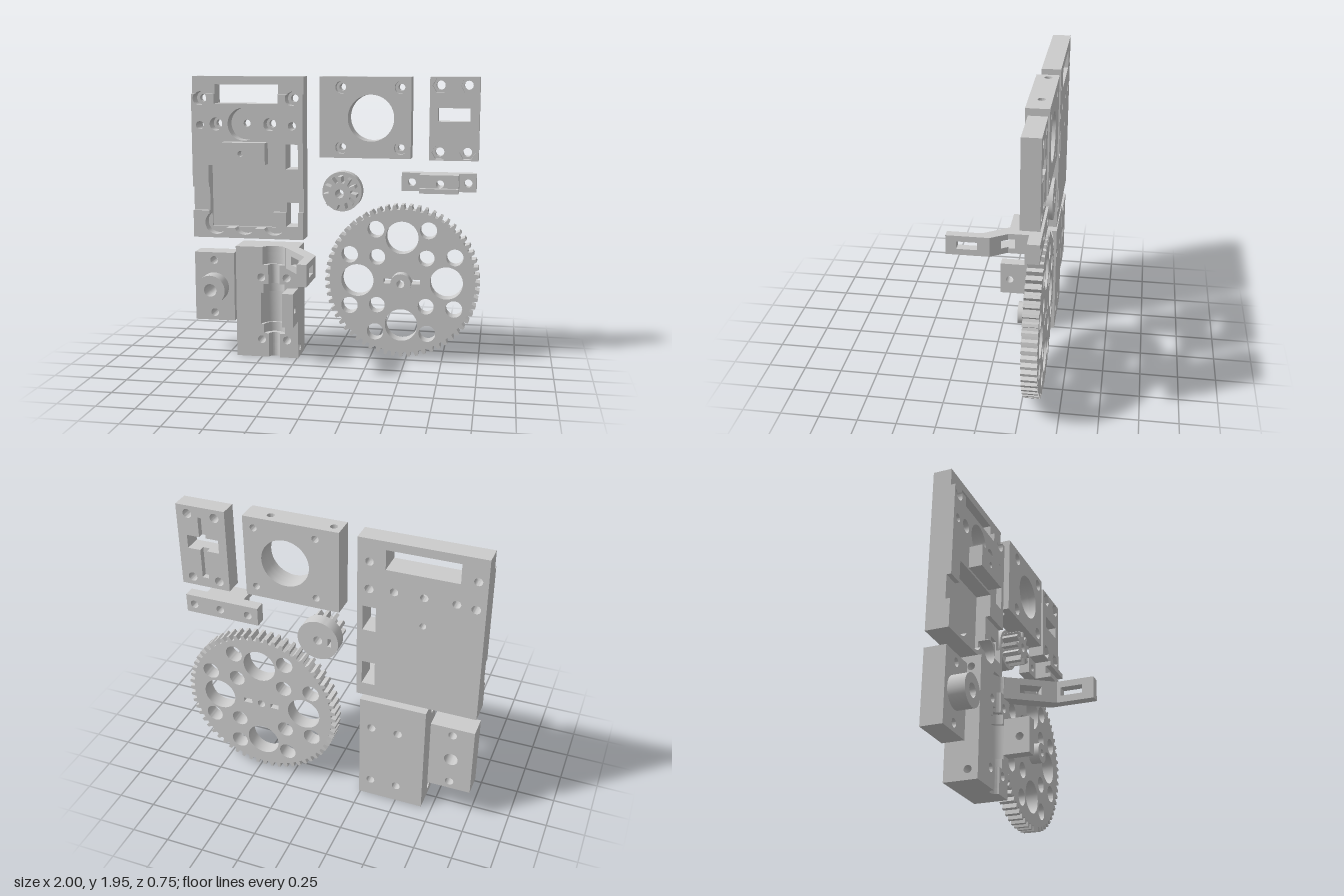
import * as THREE from 'three';
import { toCreasedNormals } from 'three/addons/utils/BufferGeometryUtils.js';

const BACK = -0.375;
const mat = new THREE.MeshStandardMaterial({ color: 0xcccccc });

// 2D outline helpers
const rect = (x0, y0, x1, y1) => [[x0, y0], [x1, y0], [x1, y1], [x0, y1]];
const arc = (cx, cy, r, a0, a1, n = 32, ry = r) => Array.from({ length: n + 1 }, (_, i) => {
  const a = THREE.MathUtils.degToRad(a0 + (a1 - a0) * i / n);
  return [cx + r * Math.cos(a), cy + ry * Math.sin(a)];
});
const circle = (x, y, r, n = 32) => arc(x, y, r, 0, 360 - 360 / n, n - 1);
const circles = (centres, r, n) => centres.map(([x, y]) => circle(x, y, r, n));
const vecs = pts => pts.map(p => new THREE.Vector2(...p));

function extrude(pts, holes, depth) {
  const shape = new THREE.Shape(vecs(pts));
  shape.holes = holes.map(h => new THREE.Path(vecs(h)));
  return new THREE.ExtrudeGeometry(shape, { depth, bevelEnabled: false });
}

function part(root, name) {
  const group = new THREE.Group();
  group.name = name;
  root.add(group);
  const add = (label, geo) => {
    const mesh = new THREE.Mesh(toCreasedNormals(geo, 0.45), mat);
    mesh.name = label;
    group.add(mesh);
  };
  return {
    // outline in x,y, swept from z0 to z1
    alongZ: (label, pts, holes, z0, z1) => add(label, extrude(pts, holes, z1 - z0).translate(0, 0, z0)),
    // outline in x,-z, swept from y0 to y1
    alongY: (label, pts, holes, y0, y1) => add(label, extrude(pts, holes, y1 - y0).rotateX(-Math.PI / 2).translate(0, y0, 0)),
    // outline in -z,y, swept from x0 to x1
    alongX: (label, pts, holes, x0, x1) => add(label, extrude(pts, holes, x1 - x0).rotateY(Math.PI / 2).translate(x0, 0, 0)),
  };
}

function toothed(cx, cy, root, tip, count) {
  const pts = [], step = 2 * Math.PI / count;
  for (let i = 0; i < count; i++)
    for (const [f, r] of [[-0.32, root], [-0.17, tip], [0.17, tip], [0.32, root]]) {
      const a = Math.PI / 2 + (i + f) * step;
      pts.push([cx + r * Math.cos(a), cy + r * Math.sin(a)]);
    }
  return pts;
}

function basePlate(root) {
  const p = part(root, 'basePlate');
  const outline = rect(-1, 0.83, -0.215, 1.95);
  const windowHole = rect(-0.84, 1.765, -0.39, 1.895);
  const slots = [rect(-0.335, 1.32, -0.25, 1.49), rect(-0.335, 0.92, -0.25, 1.085)];
  const top = [[-0.94, 1.8], [-0.29, 1.8]], mid = [[-0.825, 1.625], [-0.445, 1.625]];
  const plain = circles([[-0.94, 1.615], [-0.29, 1.615]], 0.028);
  const bores = [...circles(mid, 0.045), circle(-0.63, 1.625, 0.112, 48)];
  // lower edge of the pocket with three round scoops
  const scoops = [
    ...arc(-0.835, 0.935, 0.08, 128.7, 334.1), ...arc(-0.63, 0.935, 0.08, 205.9, 334.1),
    ...arc(-0.42, 0.935, 0.08, 205.9, 453.6)];
  const common = [windowHole, ...slots, ...plain];
  p.alongZ('backLayer', outline, [...common, ...circles([...top, ...mid], 0.026),
    circle(-0.63, 1.625, 0.025), circle(-0.63, 1.43, 0.02)], BACK, -0.32);
  const recessed = [...common, ...bores, ...circles(top, 0.048)];
  p.alongZ('pocketLayer', outline, [...recessed, rect(-0.885, 0.9, -0.425, 1.34)], -0.32, -0.3);
  p.alongZ('scoopLayer', outline, [...recessed, [[-0.885, 1.34], ...scoops, [-0.425, 1.34]]], -0.3, -0.25);
  // raised front faces, split by the side channel
  p.alongZ('upperFace', [[-1, 1.185], [-0.885, 1.185], [-0.885, 1.34], [-0.425, 1.34], [-0.425, 1.185],
    [-0.215, 1.185], [-0.215, 1.83], ...arc(-0.29, 1.8, 0.048, 38.7, -218.7), [-0.39, 1.83], [-0.39, 1.765],
    [-0.84, 1.765], [-0.84, 1.83], ...arc(-0.94, 1.8, 0.048, 38.7, -218.7), [-1, 1.83]],
  [slots[0], ...plain, ...bores], -0.25, -0.22);
  p.alongZ('lowerFace', [[-1, 0.83], [-0.215, 0.83], [-0.215, 1.02], [-0.25, 1.02], [-0.25, 0.92],
    [-0.335, 0.92], [-0.335, 1.02], [-0.425, 1.02], ...scoops.slice().reverse(), [-0.885, 1.02], [-1, 1.02]],
  [], -0.25, -0.22);
  p.alongZ('stopBlock', rect(-0.765, 1.355, -0.46, 1.505), [circle(-0.63, 1.43, 0.02)], -0.32, -0.13);
}

function motorBlock(root) {
  const p = part(root, 'motorBlock');
  const outline = rect(-0.1, 1.405, 0.52, 1.95), bore = circle(0.25, 1.675, 0.157, 64);
  const corners = [[0.05, 1.88], [0.45, 1.88], [0.05, 1.475], [0.45, 1.475]];
  const small = circles(corners, 0.023), large = circles(corners, 0.042);
  p.alongZ('backLayer', outline, [bore, ...small], BACK, -0.336);
  // middle layer notched for the round screw holes in the top and bottom edges
  const notched = [[-0.1, 1.405]];
  for (const x of [-0.045, 0.36]) notched.push([x - 0.026, 1.405], [x - 0.026, 1.5], [x + 0.026, 1.5], [x + 0.026, 1.405]);
  notched.push([0.52, 1.405], [0.52, 1.95]);
  for (const x of [0.36, -0.045]) notched.push([x + 0.026, 1.95], [x + 0.026, 1.855], [x - 0.026, 1.855], [x - 0.026, 1.95]);
  notched.push([-0.1, 1.95]);
  p.alongZ('middleLayer', notched, [bore, ...small], -0.336, -0.284);
  for (const x of [-0.045, 0.36]) for (const y of [1.405, 1.855])
    p.alongY('screwHole', rect(x - 0.026, 0.284, x + 0.026, 0.336), [circle(x, 0.31, 0.0245)], y, y + 0.095);
  p.alongZ('frontLayer', outline, [bore, ...large], -0.284, -0.23);
}

function nutBracket(root) {
  const p = part(root, 'nutBracket');
  const outline = rect(0.64, 1.395, 0.97, 1.95);
  const centres = [[0.71, 1.895], [0.895, 1.895], [0.71, 1.45], [0.895, 1.45]];
  const small = circles(centres, 0.03), slot = rect(0.695, 1.655, 0.91, 1.745);
  // back groove crossing the window
  const cross = [[0.695, 1.655], [0.78, 1.655], [0.78, 1.46], [0.825, 1.46], [0.825, 1.655], [0.91, 1.655],
    [0.91, 1.745], [0.825, 1.745], [0.825, 1.88], [0.78, 1.88], [0.78, 1.745], [0.695, 1.745]];
  p.alongZ('groovedBack', outline, [cross, ...small], BACK, -0.335);
  p.alongZ('core', outline, [slot, ...small], -0.335, -0.3);
  p.alongZ('hexFront', outline, [slot, ...circles(centres, 0.053, 6)], -0.3, -0.26);
}

function clampStrip(root) {
  const p = part(root, 'clampStrip');
  const hole = circle(0.72, 1.24, 0.027);
  p.alongZ('strip', rect(0.455, 1.18, 0.96, 1.305), [hole, ...circles([[0.525, 1.24], [0.905, 1.24]], 0.027)], BACK, -0.3);
  p.alongZ('pad', rect(0.585, 1.18, 0.845, 1.305), [hole], -0.3, -0.22);
  for (const [y0, y1] of [[1.18, 1.212], [1.27, 1.305]])
    p.alongX('padRidge', [[0.22, y0], [0.22, y1], [0.18, y1], [0.18, y0]], [], 0.585, 0.845);
}

function gears(root) {
  const s = part(root, 'smallGear'), hole = circle(0.045, 1.165, 0.03);
  s.alongZ('hub', circle(0.045, 1.165, 0.137, 48), [hole, rect(-0.045, 1.135, -0.02, 1.195)], BACK, -0.29);
  s.alongZ('teeth', toothed(0.045, 1.165, 0.075, 0.116, 11), [hole], -0.29, -0.18);

  const g = part(root, 'largeGear'), cx = 0.465, cy = 0.55, axle = circle(cx, cy, 0.027);
  const holes = [axle, rect(0.34, 0.535, 0.397, 0.568), rect(0.533, 0.535, 0.593, 0.568)];
  for (let q = 0; q < 4; q++) {
    const at = (deg, d, r) => {
      const a = THREE.MathUtils.degToRad(deg + 90 * q);
      holes.push(circle(cx + d * Math.cos(a), cy + d * Math.sin(a), r, 40));
    };
    at(0, 0.308, 0.113);
    at(45, 0.24, 0.055);
    at(26.5, 0.405, 0.058);
    at(63.5, 0.405, 0.058);
  }
  g.alongZ('wheel', toothed(cx, cy, 0.503, 0.535, 60), holes, BACK, -0.275);
  g.alongZ('hub', circle(cx, cy, 0.07), [axle], -0.275, -0.2);
}

function spacerPlate(root) {
  const p = part(root, 'spacerPlate'), bore = circle(-0.86, 0.47, 0.045);
  p.alongZ('plate', rect(-1, 0.23, -0.715, 0.72), [bore, ...circles([[-0.86, 0.665], [-0.86, 0.285]], 0.028)], BACK, -0.23);
  p.alongZ('boss', circle(-0.86, 0.47, 0.105, 48), [bore], -0.23, -0.12);
}

function guideBody(root) {
  const p = part(root, 'guideBody'), cx = -0.41;
  p.alongZ('backLayer', rect(-0.68, 0, -0.24, 0.785),
    circles([[-0.5, 0.57], [-0.32, 0.57], [-0.5, 0.125], [-0.32, 0.125]], 0.028), BACK, -0.25);
  // front half in height bands: y0, y1, groove half width, groove depth, hole kind, hole height
  const bands = [
    [0, 0.038, 0.04, 0.04], [0.038, 0.092, 0.04, 0.04, 'side', 0.065], [0.092, 0.17, 0.04, 0.04, 'front', 0.125],
    [0.17, 0.235, 0.075, 0.075], [0.235, 0.46, 0.095, 0.09], [0.46, 0.525, 0.075, 0.075],
    [0.525, 0.66, 0.04, 0.04, 'front', 0.57], [0.66, 0.688, 0.08, 0.05],
    [0.688, 0.742, 0.08, 0.05, 'side', 0.715], [0.742, 0.785, 0.08, 0.05]];
  for (const [y0, y1, h, d, kind, hy] of bands) {
    p.alongY('groove', [[cx - h, 0.25], [cx + h, 0.25], ...arc(cx, 0.155, h, 0, 180, 24, d)], [], y0, y1);
    for (const [x0, x1, hx] of [[-0.68, cx - h, -0.5], [cx + h, -0.24, -0.32]]) {
      if (kind === 'side') p.alongX('wing', rect(0.155, y0, 0.25, y1), [circle(0.22, hy, 0.025)], x0, x1);
      else p.alongZ('wing', rect(x0, y0, x1, y1), kind ? [circle(hx, hy, 0.028)] : [], -0.25, -0.155);
    }
  }
  p.alongX('lug', rect(-0.015, 0.265, 0.155, 0.5), [circle(0.05, 0.375, 0.026)], -0.315, -0.24);

  // bent arm: left and right edge points in x,z, slotted in its middle layer
  const L = t => [-0.333 + 0.197 * t, -0.17 + 0.3 * t], R = t => [-0.24 + 0.168 * t, -0.19 + 0.26 * t];
  const stations = [0, 0.33, 0.72, 1].map(t => [L(t), R(t)]);
  for (const z of [0.155, 0.3, 0.375]) stations.push([[-0.136, z], [-0.072, z]]);
  for (const [y0, y1, slotted] of [[0.64, 0.685], [0.685, 0.742, true], [0.742, 0.785]])
    for (let i = 0; i < stations.length - 1; i++) {
      if (slotted && (i === 1 || i === 4)) continue;
      const [a, b] = stations[i], [c, d] = stations[i + 1];
      p.alongY('arm', [a, b, d, c].map(([x, z]) => [x, -z]), [], y0, y1);
    }
}

export function createModel() {
  const root = new THREE.Group();
  root.name = 'printedPartsSet';
  [basePlate, motorBlock, nutBracket, clampStrip, gears, spacerPlate, guideBody].forEach(build => build(root));
  return root;
}
